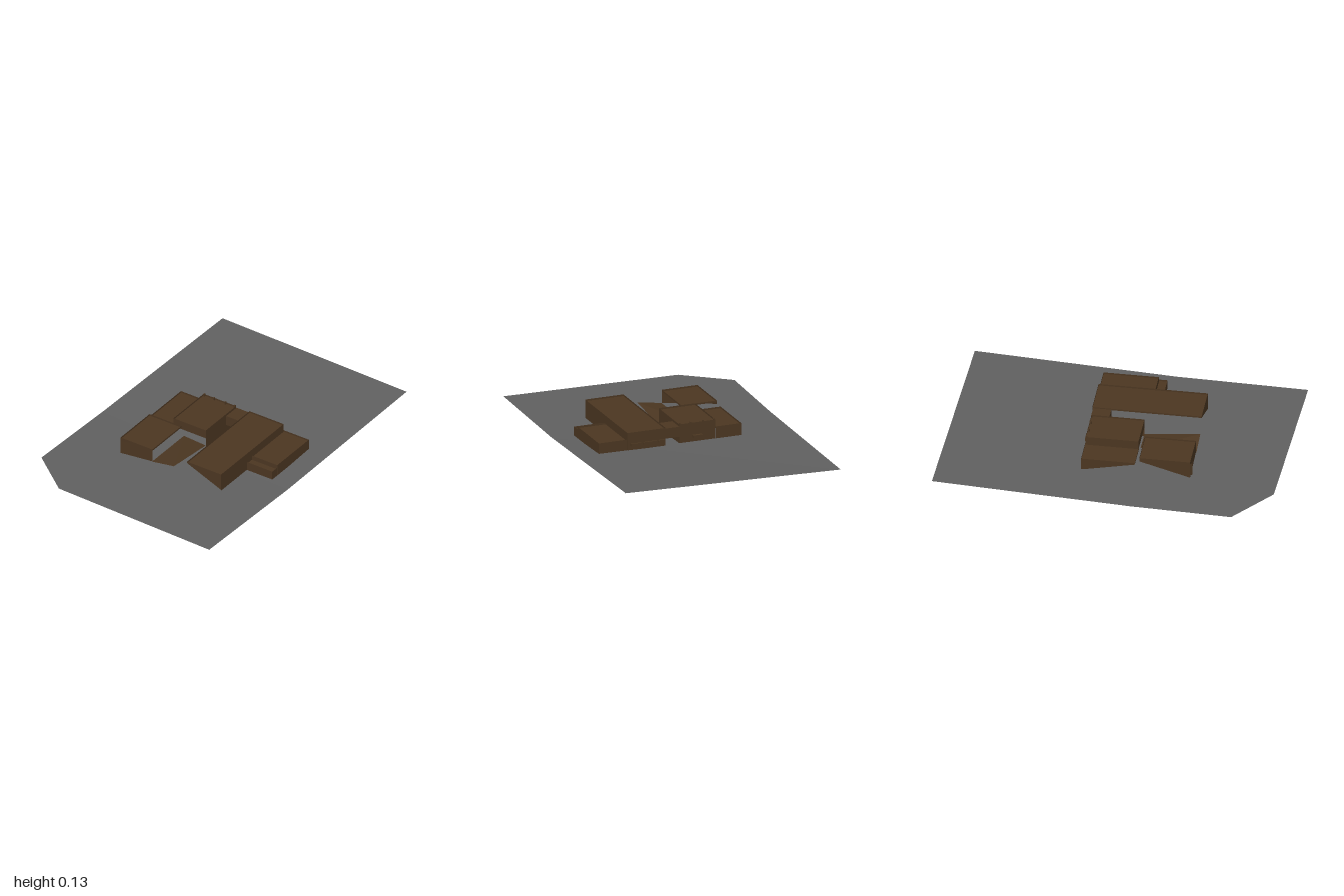
import * as THREE from 'three';

const wood = new THREE.MeshStandardMaterial({ color: 0x4b3621, side: THREE.DoubleSide });
wood.name = 'dark brown';
const ground = new THREE.MeshStandardMaterial({ color: 0x606060, side: THREE.DoubleSide });
ground.name = 'grey ground';

// Mesh made of flat convex polygons, each a list of [x, y, z]
function polygons(name, faces, material) {
  const pos = [];
  for (const f of faces) {
    for (let i = 1; i < f.length - 1; i++) pos.push(...f[0], ...f[i], ...f[i + 1]);
  }
  const geo = new THREE.BufferGeometry();
  geo.setAttribute('position', new THREE.Float32BufferAttribute(pos, 3));
  geo.computeVertexNormals();
  const mesh = new THREE.Mesh(geo, material);
  mesh.name = name;
  return mesh;
}

// Open block: a recessed flat roof and thin walls rising past it as a parapet.
// Each side gives the wall's bottom height at its two ends (left to right, or back to front).
function block(name, [x0, x1], [z0, z1], top, sides) {
  const roof = top - 0.01;
  const faces = [[[x0, roof, z1], [x1, roof, z1], [x1, roof, z0], [x0, roof, z0]]];
  const wall = (ax, az, bx, bz, [ya, yb]) =>
    faces.push([[ax, ya, az], [bx, yb, bz], [bx, top, bz], [ax, top, az]]);
  const rim = [roof, roof];
  wall(x0, z1, x1, z1, sides.front ?? rim);
  wall(x1, z1, x1, z0, [...(sides.right ?? rim)].reverse());
  wall(x1, z0, x0, z0, [...(sides.back ?? rim)].reverse());
  wall(x0, z0, x0, z1, sides.left ?? rim);
  return polygons(name, faces, wood);
}

function box(name, [x0, x1], [y0, y1], [z0, z1]) {
  const mesh = new THREE.Mesh(new THREE.BoxGeometry(x1 - x0, y1 - y0, z1 - z0), wood);
  mesh.position.set((x0 + x1) / 2, (y0 + y1) / 2, (z0 + z1) / 2);
  mesh.name = name;
  return mesh;
}

export function createModel() {
  const model = new THREE.Group();
  model.name = 'buildingOnPlot';

  // Plot: level on one side, gently rising on the other
  model.add(polygons('plot', [
    [[-0.985, 0, 0.695], [-0.2, 0, 0.677], [-0.2, 0, -0.687], [-0.8, 0, -0.68], [-1, 0, -0.4]],
    [[-0.2, 0, 0.677], [1, 0.042, 0.645], [0.987, 0.027, -0.7], [-0.2, 0, -0.687]],
  ], ground));

  // Building, turned slightly on the plot
  const house = new THREE.Group();
  house.name = 'building';
  house.rotation.y = 0.047;
  model.add(house);

  const full = [0.005, 0.005];
  house.add(
    block('mainHall', [-0.466, 0.183], [0.113, 0.355], 0.118,
      { front: full, right: full, left: [0.108, 0.01] }),
    block('middleWing', [-0.14, 0.174], [-0.207, 0.023], 0.125,
      { front: full, right: full, back: [0.07, 0.07], left: [0.07, 0.07] }),
    block('backRightWing', [-0.143, 0.176], [-0.37, -0.209], 0.082,
      { right: full, back: [0.072, 0.005] }),
    block('backLeftWing', [-0.469, -0.168], [-0.358, -0.132], 0.113,
      { left: [0.005, 0.03], back: [0.005, 0.09] }),
    block('frontWing', [-0.147, 0.181], [0.357, 0.536], 0.077,
      { front: full, right: full, left: full }),
    block('frontPorch', [-0.199, -0.149], [0.357, 0.536], 0.06,
      { front: full, left: full }),
  );

  // Sloping terrace between the left wings
  house.add(polygons('terrace', [
    [[-0.472, 0.03, -0.132], [-0.472, 0.055, 0.023], [-0.141, 0.03, -0.132]],
    [[-0.472, 0.055, 0.023], [-0.141, 0.02, 0.023], [-0.141, 0.03, -0.132]],
  ], wood));

  // Raised link between hall and middle wing
  house.add(box('link', [0.07, 0.178], [0.05, 0.112], [0.024, 0.112]));

  // Small ledges along the right wall
  for (const [z0, z1] of [[-0.12, -0.06], [0.12, 0.16], [0.17, 0.255], [0.27, 0.335]]) {
    house.add(box('ledge', [0.17, 0.192], [0.035, 0.05], [z0, z1]));
  }

  // Posts on the middle wing's roof edge
  for (const z of [-0.2, -0.13, -0.05, 0.017]) {
    house.add(box('roofPost', [0.164, 0.174], [0.115, 0.131], [z - 0.004, z + 0.004]));
  }

  // Fin at the back left corner
  house.add(polygons('cornerFin', [
    [[-0.469, 0.02, -0.355], [-0.482, 0.02, -0.345], [-0.482, 0.1, -0.345], [-0.469, 0.1, -0.355]],
    [[-0.482, 0.02, -0.345], [-0.469, 0.03, -0.29], [-0.469, 0.1, -0.29], [-0.482, 0.1, -0.345]],
  ], wood));

  return model;
}
